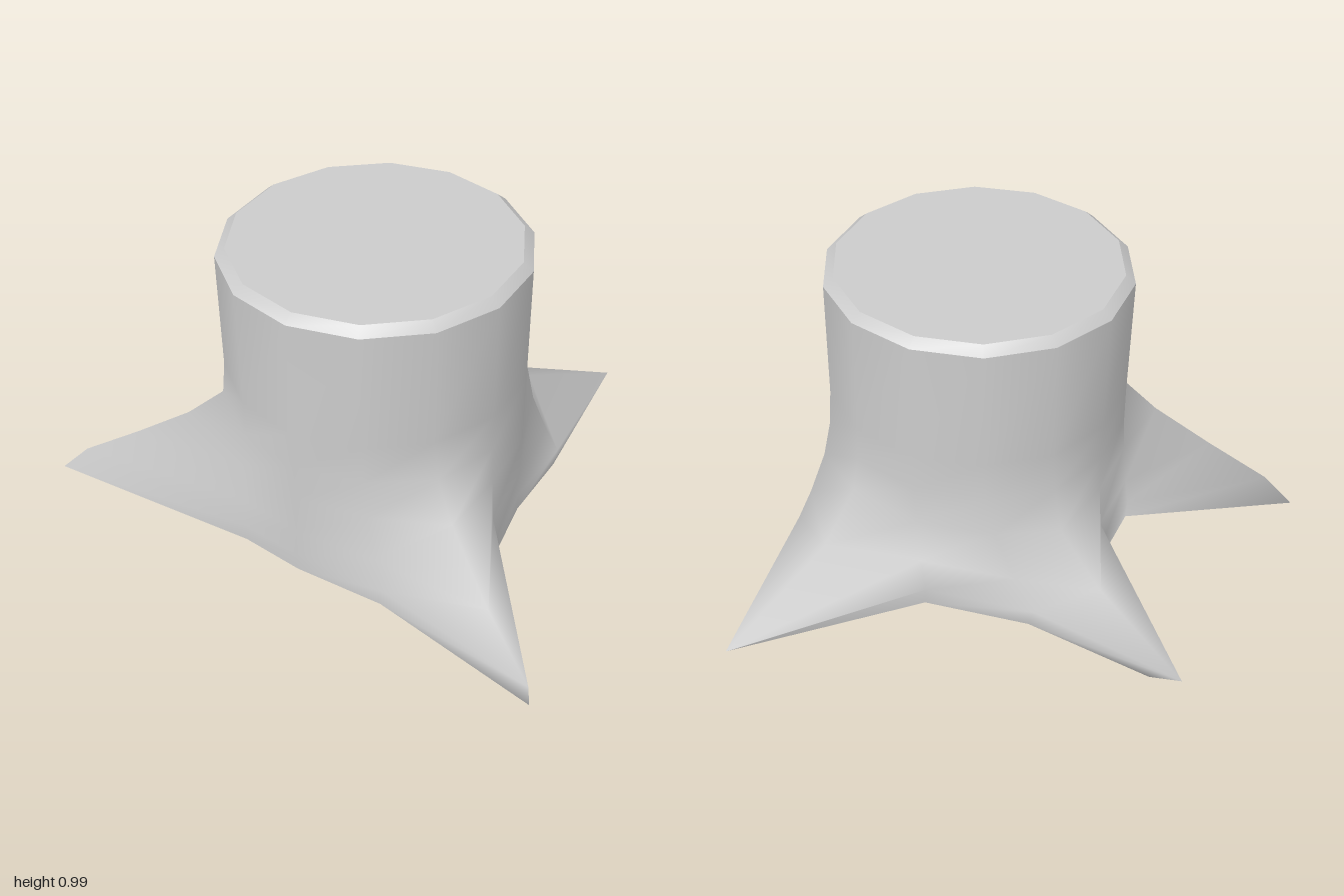
import * as THREE from 'three';

const SIDES = 14, CX = -0.1, CZ = 0.01, RADIUS = 0.465;

// Skin closed rings of points, listed from top to bottom
function loft(name, rings, material) {
  const n = SIDES, index = [];
  for (let r = 0; r < rings.length - 1; r++) {
    for (let i = 0; i < n; i++) {
      const j = (i + 1) % n;
      const a = r * n + i, b = r * n + j, c = a + n, d = b + n;
      index.push(a, b, d, a, d, c);
    }
  }
  const geometry = new THREE.BufferGeometry().setFromPoints(rings.flat());
  geometry.setIndex(index);
  geometry.computeVertexNormals();
  const mesh = new THREE.Mesh(geometry, material);
  mesh.name = name;
  return mesh;
}

// Point on the round trunk at one of its corners
function trunkPoint(i, y, radius) {
  const a = (i / SIDES) * Math.PI * 2;
  return new THREE.Vector3(CX + Math.cos(a) * radius, y, CZ + Math.sin(a) * radius);
}

const trunkRing = (y, radius) =>
  Array.from({ length: SIDES }, (_, i) => trunkPoint(i, y, radius));

// Descending profiles: [fraction of the way out from trunk to foot, height]
const valley = [[0, 0.58], [0.06, 0.46], [0.25, 0.34], [0.65, 0.2], [1, 0.1], [0.92, 0.04]];
const rootRight = [[0, 0.58], [0.01, 0.47], [0.05, 0.36], [0.28, 0.21], [1, 0.035], [0.96, 0.025]];
const rootFront = [[0, 0.58], [0.05, 0.46], [0.2, 0.35], [0.58, 0.19], [0.98, 0.08], [1, 0.015]];
const rootCorner = [[0, 0.58], [0.02, 0.47], [0.22, 0.36], [0.52, 0.24], [0.84, 0.12], [1, 0.02]];
const rootBack = [[0.01, 0.58], [0.04, 0.46], [0.1, 0.32], [0.41, 0.2], [1, 0.08], [0.79, 0]];

// Foot outline: x, z and profile for each trunk corner
const feet = [
  [0.91, -0.03, rootRight],
  [0.44, 0.26, valley],
  [0.2, 0.36, valley],
  [0.0, 0.5, valley],
  [-0.24, 0.99, rootFront],
  [-0.39, 0.47, valley],
  [-0.52, 0.2, valley],
  [-0.59, 0.0, valley],
  [-0.92, -0.66, rootCorner],
  [-0.43, -0.37, valley],
  [-0.21, -0.47, valley],
  [-0.02, -1.0, rootBack],
  [0.14, -0.54, valley],
  [0.33, -0.26, valley],
];

export function createModel() {
  const stump = new THREE.Group();
  stump.name = 'treeStump';
  const wood = new THREE.MeshStandardMaterial({ color: 0xcccccc });

  // Bark: straight trunk flaring into pointed roots
  const rings = [trunkRing(0.96, RADIUS)];
  for (let row = 0; row < valley.length; row++) {
    rings.push(feet.map(([x, z, profile], i) => {
      const [t, y] = profile[row];
      const foot = new THREE.Vector3(x, y, z);
      return trunkPoint(i, y, RADIUS).lerp(foot, t);
    }));
  }
  stump.add(loft('trunkAndRoots', rings, wood));

  // Bevelled rim and flat cut face
  stump.add(loft('rimBevel', [trunkRing(0.985, 0.435), trunkRing(0.96, RADIUS)], wood));
  stump.add(loft('cutTop', [trunkRing(0.985, 0), trunkRing(0.985, 0.435)], wood));

  // Underside closing the root outline
  stump.add(loft('underside', [rings[rings.length - 1], trunkRing(0.04, 0)], wood));

  return stump;
}
